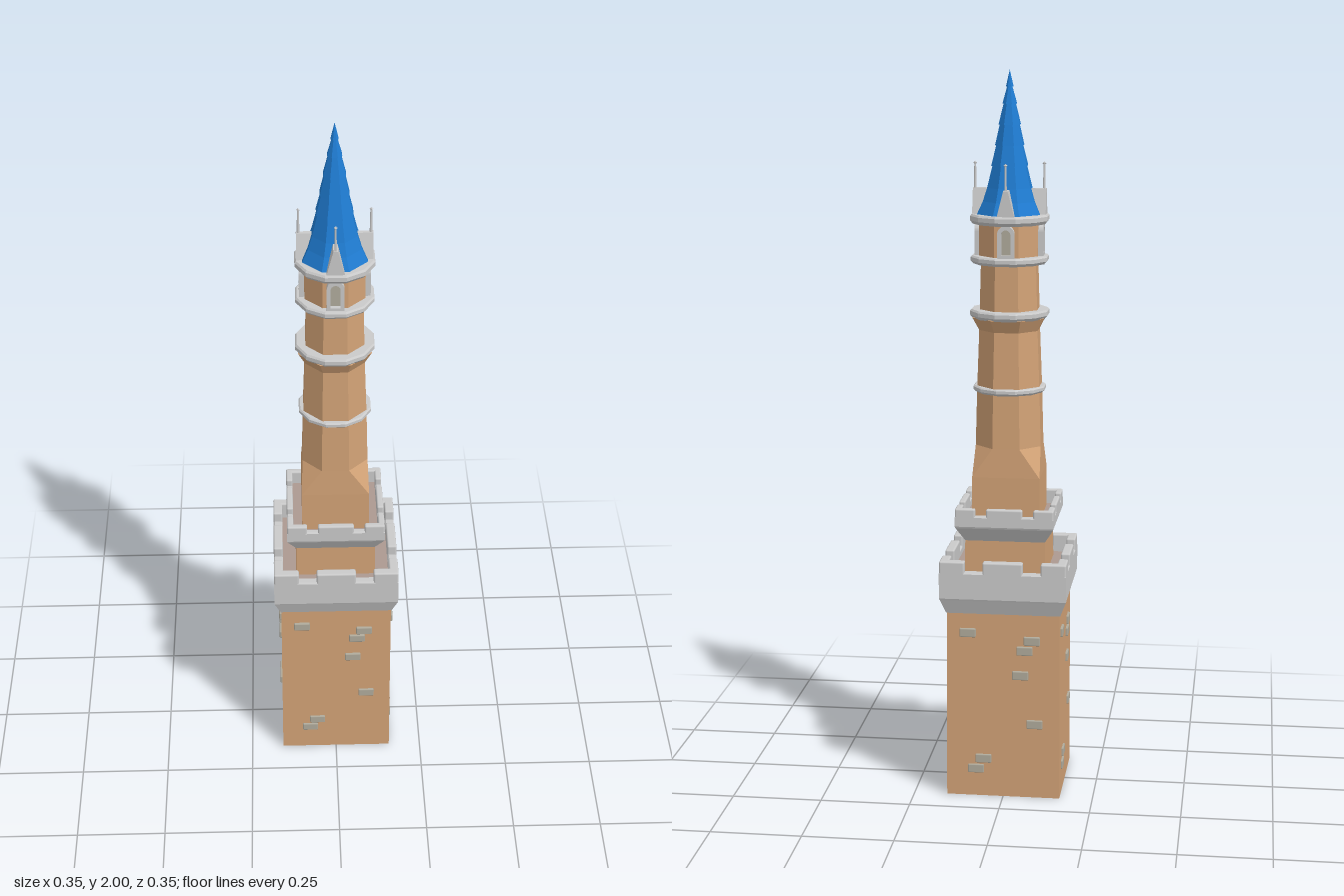
import * as THREE from 'three';
import { RoundedBoxGeometry } from 'three/addons/geometries/RoundedBoxGeometry.js';
import { ConvexGeometry } from 'three/addons/geometries/ConvexGeometry.js';

const material = (name, color, side = THREE.FrontSide) => {
  const m = new THREE.MeshStandardMaterial({ color, side });
  m.name = name;
  return m;
};

export function createModel() {
  const tan = material('tan wall', 0xd2a276, THREE.DoubleSide);
  const stone = material('pale stone', 0xcacaca);
  const brickGrey = material('brick grey', 0xb0ab9c);
  const floorBrown = material('terrace floor', 0xac9990);
  const blue = material('blue roof', 0x1f7cd2);

  const model = new THREE.Group();
  model.name = 'tower';

  const add = (name, geometry, mat, parent = model) => {
    const mesh = new THREE.Mesh(geometry, mat);
    mesh.name = name;
    parent.add(mesh);
    return mesh;
  };

  // Flat-shaded n-sided solid; profile holds [distance to flat side, height]
  const prism = (n, profile) => {
    const k = 1 / Math.cos(Math.PI / n);
    const points = profile.map(([a, y]) => new THREE.Vector2(a * k, y));
    const g = new THREE.LatheGeometry(points, n, Math.PI / n).toNonIndexed();
    g.computeVertexNormals();
    return g;
  };

  // Calls build with a group turned to each of the four sides
  const fourSides = (name, build) => {
    for (let i = 0; i < 4; i++) {
      const side = new THREE.Group();
      side.name = name + (i + 1);
      side.rotation.y = i * Math.PI / 2;
      model.add(side);
      build(side, i);
    }
  };

  // Square base and second storey, open underneath
  add('baseWalls', prism(4, [[0.158, 0], [0.156, 0.55]]), tan);
  add('secondStorey', prism(4, [[0.112, 0.62], [0.11, 0.74]]), tan);

  // Scattered bricks
  const bricks = [[-0.098, 0.475], [0.08, 0.456], [0.06, 0.427], [0.048, 0.356],
    [0.088, 0.215], [-0.055, 0.11], [-0.076, 0.08]];
  fourSides('brickSide', (side, i) => {
    for (const [x, y] of bricks) {
      const brick = add('brick', new RoundedBoxGeometry(0.045, 0.025, 0.012, 1, 0.003), brickGrey, side);
      brick.position.set(x - (i % 2) * 0.01, y, 0.157);
    }
  });

  // Battlements: flared parapet, terrace floor and merlons
  const battlement = (name, { foot, half, wall, y0, y1, notch, top, floor, gap, inner }) => {
    add(name + 'Parapet', prism(4, [
      [foot - 0.012, y0], [foot, y0], [half - 0.002, y1 - 0.005], [half, y1], [half, notch - 0.004],
      [half - 0.004, notch], [half - wall + 0.004, notch], [half - wall, notch - 0.004],
      [half - wall, floor],
    ]), stone);
    add(name + 'Floor', prism(4, [[half - wall + 0.002, floor], [inner, floor]]), floorBrown);
    const low = notch - 0.012;
    fourSides(name + 'Side', (side) => {
      for (const [a, b] of [[-half, -gap[1]], [-gap[0], gap[0]], [gap[1], half]]) {
        const merlon = add('merlon', new RoundedBoxGeometry(b - a, top - low, wall, 2, 0.005), stone, side);
        merlon.position.set((a + b) / 2, (top + low) / 2, half - wall / 2);
      }
    });
  };
  battlement('lower', { foot: 0.158, half: 0.175, wall: 0.026, y0: 0.53, y1: 0.575, notch: 0.65,
    top: 0.68, floor: 0.63, gap: [0.055, 0.105], inner: 0.1 });
  battlement('upper', { foot: 0.11, half: 0.136, wall: 0.018, y0: 0.725, y1: 0.77, notch: 0.8,
    top: 0.82, floor: 0.78, gap: [0.05, 0.08], inner: 0.085 });

  // Square shaft foot that turns into an octagon
  const footPoints = [];
  for (const y of [0.77, 0.9])
    for (const x of [-0.093, 0.093])
      for (const z of [-0.093, 0.093]) footPoints.push(new THREE.Vector3(x, y, z));
  for (let i = 0; i < 8; i++) {
    const a = (i + 0.5) * Math.PI / 4, r = 0.09 / Math.cos(Math.PI / 8);
    footPoints.push(new THREE.Vector3(Math.sin(a) * r, 0.98, Math.cos(a) * r));
  }
  add('shaftFoot', new ConvexGeometry(footPoints), tan);

  // Octagonal shaft with a corbel, and the top chamber
  add('shaft', prism(8, [[0.09, 0.98], [0.086, 1.135], [0.08, 1.3], [0.098, 1.335],
    [0.079, 1.34], [0.075, 1.49]]), tan);
  add('topChamber', prism(8, [[0.08, 1.49], [0.08, 1.6]]), tan);

  // Stone rings
  for (const [y, a, h] of [[1.137, 0.098, 0.009], [1.345, 0.106, 0.012], [1.493, 0.104, 0.011], [1.603, 0.105, 0.013]]) {
    add('stoneRing', prism(12, [[0.07, y - h], [a - 0.007, y - h], [a, y - h * 0.3],
      [a, y + h * 0.6], [a - 0.004, y + h], [0.065, y + h]]), stone);
  }

  // Stepped roof: flared skirt, then overlapping tile tiers
  add('roofSkirt', prism(8, [[0.06, 1.612], [0.087, 1.612], [0.07, 1.65], [0.056, 1.695]]), blue);
  const tiers = [[0.059, 1.685], [0.048, 1.745], [0.038, 1.8], [0.029, 1.855], [0.019, 1.91], [0.01, 1.955], [0, 2]];
  for (let i = 0; i < tiers.length - 1; i++) {
    const [a, y] = tiers[i], [b, yTop] = tiers[i + 1];
    add('roofTier', prism(8, [[a - 0.008, y], [a, y], [Math.max(b - 0.003, 0), yTop]]), blue);
  }

  // Arched outline for windows
  const arch = (Type, w, y0, y1) => {
    const s = new Type();
    s.moveTo(-w, y0);
    s.lineTo(w, y0);
    s.lineTo(w, y1 - w);
    s.absarc(0, y1 - w, w, 0, Math.PI, false);
    s.lineTo(-w, y0);
    return s;
  };

  // Windows, gables and finials on each side
  fourSides('gableSide', (side) => {
    const frame = arch(THREE.Shape, 0.023, 1.5, 1.592);
    frame.holes.push(arch(THREE.Path, 0.013, 1.512, 1.58));
    add('windowFrame', new THREE.ExtrudeGeometry(frame, { depth: 0.02, bevelEnabled: false, curveSegments: 8 }),
      stone, side).position.z = 0.074;
    const pane = add('windowPane', new THREE.ShapeGeometry(arch(THREE.Shape, 0.014, 1.511, 1.581)), brickGrey, side);
    pane.position.z = 0.082;

    const gable = new THREE.Shape();
    [[-0.025, 1.61], [0.025, 1.61], [0.02, 1.63], [0.006, 1.685], [-0.006, 1.685], [-0.02, 1.63]]
      .forEach(([x, y], i) => (i ? gable.lineTo(x, y) : gable.moveTo(x, y)));
    add('gable', new THREE.ExtrudeGeometry(gable, { depth: 0.058, bevelEnabled: false }), stone, side)
      .position.z = 0.042;

    add('finial', new THREE.CylinderGeometry(0.0025, 0.005, 0.15, 6), stone, side).position.set(0, 1.68, 0.094);
    add('finialTip', new THREE.OctahedronGeometry(0.005), stone, side).position.set(0, 1.752, 0.094);
  });

  return model;
}
